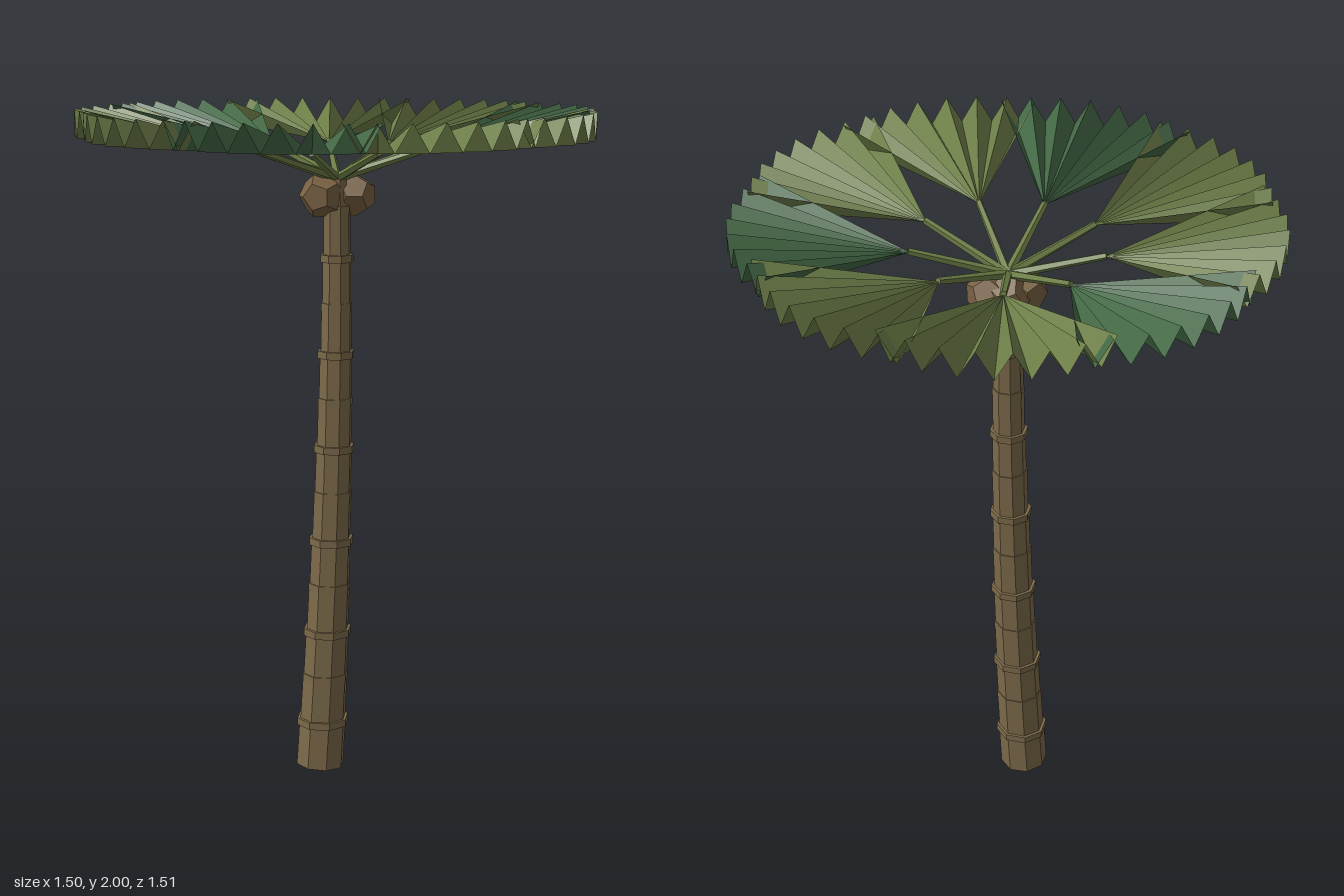
import * as THREE from 'three';

const mat = (name, color, double = false) => {
  const m = new THREE.MeshStandardMaterial({ color, flatShading: true });
  m.name = name;
  if (double) m.side = THREE.DoubleSide;
  return m;
};

export function createModel() {
  const palm = new THREE.Group();
  palm.name = 'fanPalm';
  const bark = mat('bark', 0x7d6a4a);
  const husk = mat('husk', 0x7a6243);
  const stalkGreen = mat('stalkGreen', 0x6c7d45);
  const olive = mat('oliveLeaf', 0x6f8049, true);
  const deep = mat('deepGreenLeaf', 0x456a47, true);

  const add = (parent, name, geometry, material) => {
    const mesh = new THREE.Mesh(geometry, material);
    mesh.name = name;
    parent.add(mesh);
    return mesh;
  };
  // Cylinder running from point a to point b
  const rod = (parent, name, a, b, ra, rb, sides, material) => {
    const d = b.clone().sub(a);
    const mesh = add(parent, name, new THREE.CylinderGeometry(rb, ra, d.length(), sides), material);
    mesh.position.copy(a).addScaledVector(d, 0.5);
    mesh.quaternion.setFromUnitVectors(new THREE.Vector3(0, 1, 0), d.normalize());
    return mesh;
  };

  // Trunk: tapering segments along a gentle bend, with ledges at every other joint
  const trunk = new THREE.Group();
  trunk.name = 'trunk';
  palm.add(trunk);
  const height = 1.71, count = 12;
  const centre = (t) => new THREE.Vector3(-0.055 * (1 - t) ** 2, height * t, 0);
  const radius = (t) => 0.074 - 0.036 * t;
  for (let i = 0; i < count; i++) {
    const t0 = i / count, t1 = (i + 1) / count;
    rod(trunk, 'trunkSegment', centre(t0), centre(t1), radius(t0), radius(t1) + 0.002, 8, bark);
    const p = centre(t1), r = radius(t1) + (i % 2 ? 0.003 : 0.009);
    const ring = add(trunk, 'trunkRing', new THREE.CylinderGeometry(r, r, 0.022, 8), bark);
    ring.position.copy(p);
  }
  rod(trunk, 'trunkTop', centre(1), new THREE.Vector3(0, 1.8, 0), 0.038, 0.03, 8, bark);

  // Cluster of faceted husks under the crown
  [[-0.047, 1.75, 0], [0.055, 1.75, -0.012], [0.004, 1.748, -0.036]].forEach((p, i) => {
    const nut = add(palm, 'husk', new THREE.DodecahedronGeometry(0.066), husk);
    nut.position.set(...p);
    nut.rotation.y = i * 1.3;
  });

  // Pleated fan: triangles from the apex to a zigzag rim
  const pleats = 14, spread = 1.3, reach = 0.49;
  const rim = (i) => {
    const a = (i / pleats - 0.5) * spread;
    return [reach * Math.cos(a), i % 2 ? 0.035 : 0.113, -reach * Math.sin(a)];
  };
  const points = [];
  for (let i = 0; i < pleats; i++) points.push(0, 0, 0, ...rim(i), ...rim(i + 1));
  const fan = new THREE.BufferGeometry();
  fan.setAttribute('position', new THREE.Float32BufferAttribute(points, 3));
  fan.computeVertexNormals();

  // Nine fronds around the crown, every third one deeper green
  const fronds = 9;
  for (let k = 0; k < fronds; k++) {
    const frond = new THREE.Group();
    frond.name = 'frond';
    frond.rotation.y = -k * Math.PI * 2 / fronds;
    palm.add(frond);
    rod(frond, 'stalk', new THREE.Vector3(0, 1.8, 0), new THREE.Vector3(0.275, 1.89, 0),
      0.014, 0.01, 5, stalkGreen);
    add(frond, 'leafFan', fan, k % 3 ? olive : deep).position.set(0.27, 1.887, 0);
  }
  return palm;
}
